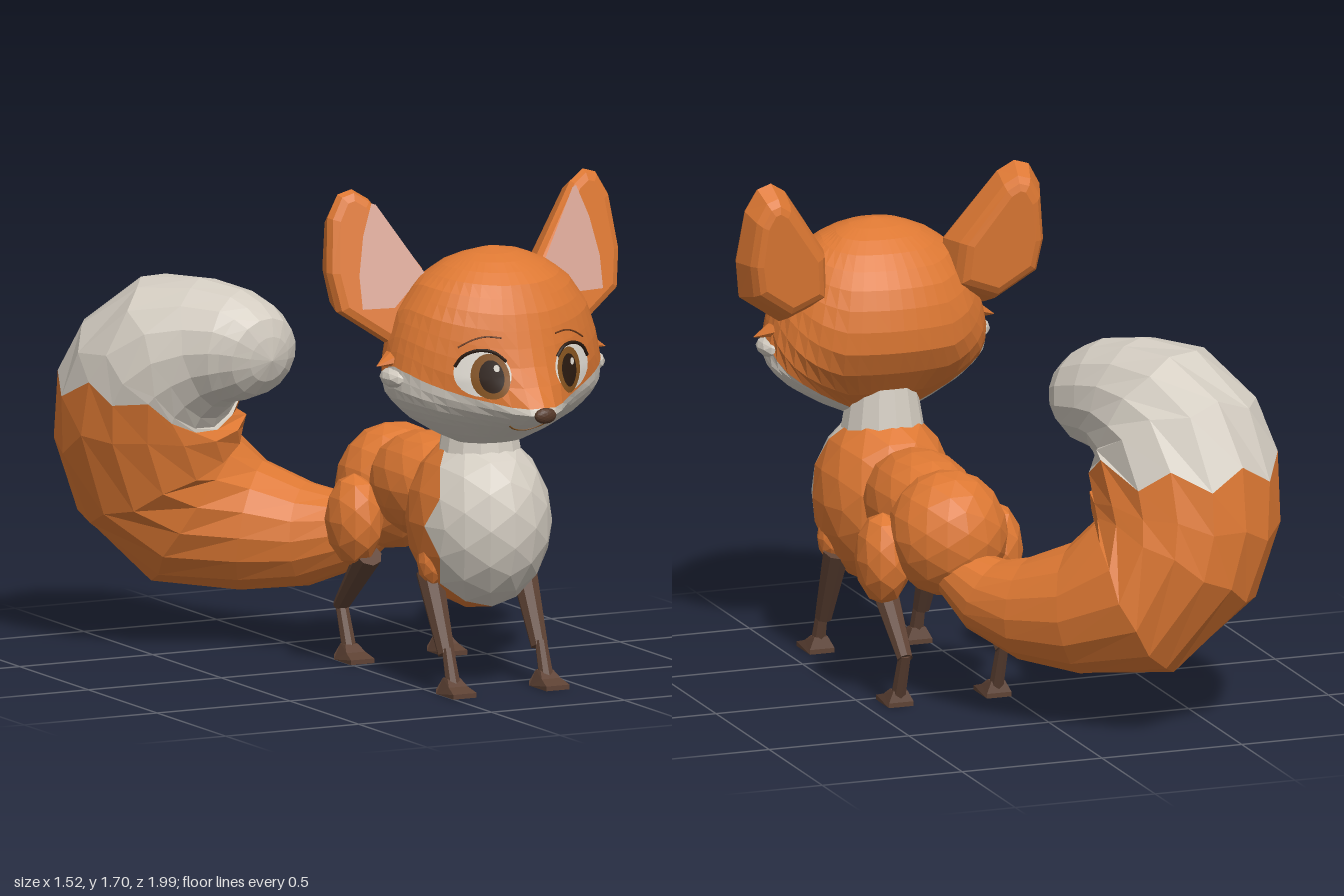
import * as THREE from 'three';
import { ParametricGeometry } from 'three/addons/geometries/ParametricGeometry.js';

const V = (x, y, z) => new THREE.Vector3(x, y, z);
const paint = (name, color) => Object.assign(new THREE.MeshStandardMaterial({ color }), { name });

// Linear lookup in rows sorted by their first number
function lookup(rows, k) {
  let i = 1;
  while (i < rows.length - 1 && rows[i][0] < k) i++;
  const a = rows[i - 1], b = rows[i];
  const t = THREE.MathUtils.clamp((k - a[0]) / (b[0] - a[0]), 0, 1);
  return a.map((n, j) => n + (b[j] - n) * t);
}

function flat(geo) {
  const g = geo.index ? geo.toNonIndexed() : geo;
  g.computeVertexNormals();
  return g;
}

// Keep only the triangles whose centre passes the test
function pick(geo, test) {
  const p = geo.attributes.position, keep = [], c = V(0, 0, 0);
  for (let i = 0; i < p.count; i += 3) {
    c.set(0, 0, 0);
    for (let k = 0; k < 3; k++) c.add(V().fromBufferAttribute(p, i + k));
    if (!test(c.divideScalar(3))) continue;
    for (let k = 0; k < 3; k++) keep.push(p.getX(i + k), p.getY(i + k), p.getZ(i + k));
  }
  return new THREE.BufferGeometry().setAttribute('position', new THREE.Float32BufferAttribute(keep, 3));
}

function warp(geo, rule) {
  const p = geo.attributes.position;
  for (let i = 0; i < p.count; i++) {
    const q = rule(p.getX(i), p.getY(i), p.getZ(i));
    p.setXYZ(i, q.x, q.y, q.z);
  }
  geo.computeVertexNormals();
  return geo;
}

// Head layers: height, half width, back z, front z, snout length
const HEAD = [
  [0.836, 0, 0.58, 0.58, 0], [0.84, 0.11, 0.49, 0.64, 0], [0.88, 0.2, 0.45, 0.71, 0.02],
  [0.94, 0.3, 0.4, 0.79, 0.1], [0.985, 0.35, 0.365, 0.83, 0.155], [1.03, 0.383, 0.33, 0.845, 0.115],
  [1.1, 0.39, 0.295, 0.855, 0.055], [1.2, 0.37, 0.29, 0.855, 0.02], [1.3, 0.335, 0.32, 0.845, 0],
  [1.4, 0.265, 0.385, 0.795, 0], [1.46, 0.175, 0.46, 0.725, 0], [1.49, 0.09, 0.525, 0.65, 0], [1.503, 0, 0.58, 0.58, 0],
];
// Height where the fur changes colour, by angle from the front
const FUR_LINE = [[0, 1.01], [0.2, 1.005], [0.58, 1.04], [0.85, 1.07], [1.2, 1.11], [1.5, 1.13], [1.65, 1.11], [2.3, 0.91], [2.6, 0.85], [3.2, 0.85]];

function headPoint(a, y) {
  const [, w, back, front, snout] = lookup(HEAD, y), c = Math.cos(a);
  const z = 0.58 + c * (c > 0 ? front - 0.58 : 0.58 - back) + snout * Math.exp(-((a / 0.4) ** 2));
  return V(w * Math.sin(a), y, z);
}
// Point on the face surface in front of (x, y)
function onFace(x, y, lift) {
  const p = headPoint(Math.asin(x / lookup(HEAD, y)[1]), y);
  return p.setZ(p.z + lift);
}

// Tail stations: centre and radius
const TAIL = [
  [0.22, 0.47, -0.2, 0.09], [0.11, 0.39, -0.34, 0.15], [-0.06, 0.39, -0.52, 0.21], [-0.29, 0.48, -0.68, 0.295],
  [-0.41, 0.67, -0.68, 0.315], [-0.43, 0.86, -0.64, 0.325], [-0.41, 1.0, -0.53, 0.295], [-0.32, 1.06, -0.37, 0.215],
  [-0.255, 1.05, -0.26, 0.175], [-0.235, 1.035, -0.18, 0.12], [-0.23, 1.03, -0.15, 0.001],
];

export function createModel() {
  const M = {
    fur: paint('orange fur', 0xdd7833), white: paint('pale fur', 0xd3ccc1), pink: paint('inner ear pink', 0xdba898),
    leg: paint('leg brown', 0x5e4234), nose: paint('nose brown', 0x553828), eye: paint('eye white', 0xe2ddd4),
    iris: paint('iris amber', 0x85531f), dark: paint('pupil dark', 0x2a1a10), line: paint('face line brown', 0x6e3a1a),
  };
  const model = new THREE.Group();
  model.name = 'fox';
  const body = new THREE.Group();
  body.name = 'body';
  body.position.x = 0.215;
  model.add(body);

  function add(name, geo, mat, parent = body) {
    const mesh = new THREE.Mesh(geo, mat);
    mesh.name = name;
    parent.add(mesh);
    return mesh;
  }
  const ball = (x, y, z, rx, ry, rz, detail = 2) =>
    flat(new THREE.IcosahedronGeometry(1, detail).scale(rx, ry, rz).translate(x, y, z));
  function limb(name, p, q, r0, r1, mat) {
    const d = q.clone().sub(p);
    const mesh = add(name, flat(new THREE.CylinderGeometry(r1, r0, d.length(), 8)), mat);
    mesh.position.copy(p).addScaledVector(d, 0.5);
    mesh.quaternion.setFromUnitVectors(V(0, 1, 0), d.normalize());
    return mesh;
  }
  const stroke = (name, pts, r, mat) =>
    add(name, new THREE.TubeGeometry(new THREE.CatmullRomCurve3(pts), 14, r, 5), mat);

  // Torso, with a pale bib on the chest
  const chest = ball(0, 0.56, 0.49, 0.238, 0.303, 0.275);
  const isBib = c => c.z > (c.y > 0.72 ? 0.5 : 0.575);
  add('chest', flat(pick(chest, c => !isBib(c))), M.fur);
  add('bib', flat(pick(chest, isBib)), M.white);
  add('belly', ball(0, 0.62, 0.13, 0.18, 0.184, 0.28), M.fur);
  add('hips', ball(0, 0.58, -0.115, 0.203, 0.215, 0.203), M.fur);
  add('neck', flat(new THREE.CylinderGeometry(0.115, 0.14, 0.15, 14).translate(0, 0.875, 0.5)), M.white);

  // Legs, with paws that narrow above the sole
  const sole = new THREE.Shape([[-0.05, 0], [0.075, 0], [0.075, 0.016], [0.025, 0.032], [-0.005, 0.055], [-0.04, 0.055], [-0.05, 0.016]]
    .map(p => new THREE.Vector2(...p)));
  for (const s of [-1, 1]) {
    const x = s * 0.175;
    add('thigh', ball(s * 0.2, 0.49, -0.03, 0.092, 0.158, 0.122, 1), M.fur);
    add('shoulder', ball(x, 0.43, 0.5, 0.055, 0.085, 0.06, 1), M.fur);
    limb('frontUpperLeg', V(x, 0.39, 0.47), V(x, 0.13, 0.595), 0.047, 0.03, M.leg);
    limb('frontLowerLeg', V(x, 0.15, 0.605), V(x, 0.03, 0.645), 0.021, 0.026, M.leg);
    limb('hindUpperLeg', V(x, 0.38, 0.03), V(x, 0.175, -0.175), 0.047, 0.027, M.leg);
    limb('hindLowerLeg', V(x, 0.19, -0.172), V(x, 0.03, -0.11), 0.022, 0.026, M.leg);
    for (const [name, z] of [['frontPaw', 0.655], ['hindPaw', -0.09]]) {
      const paw = new THREE.ExtrudeGeometry(sole, { depth: 0.088, bevelEnabled: false });
      paw.translate(0, 0, -0.044).rotateY(-Math.PI / 2);
      warp(paw, (px, py, pz) => V(px * (py > 0.05 ? 0.55 : py > 0.02 ? 0.8 : 1), py, pz));
      add(name, flat(paw.translate(x, 0, z)), M.leg);
    }
  }

  // Head in two shells that meet along the fur line
  function shell(from, to, ease) {
    return flat(new ParametricGeometry((u, v, out) => {
      const a = (u - 0.5) * 2 * Math.PI, line = lookup(FUR_LINE, Math.abs(a))[1];
      const lo = from ?? line, hi = to ?? line;
      out.copy(headPoint(a, lo + (hi - lo) * ease(v * Math.PI / 2)));
    }, 48, 12));
  }
  add('headTop', shell(null, 1.503, Math.sin), M.fur);
  add('muzzleAndCheeks', shell(0.836, null, t => 1 - Math.cos(t)), M.white);

  // Nose and mouth
  add('nose', ball(0, 0.985, 0.977, 0.04, 0.027, 0.02), M.nose);
  stroke('mouth', [-0.07, -0.04, 0, 0.04, 0.07].map(x => onFace(x, 0.912 + 5 * x * x, 0.002)), 0.003, M.iris);

  for (const s of [-1, 1]) {
    // Eyes, laid on the face as thin layers
    const disc = (name, cx, cy, rx, ry, lift, mat) => add(name, warp(new THREE.RingGeometry(0.001, 1, 24, 5),
      (x, y) => onFace(cx + x * rx, cy + y * ry, lift)), mat);
    disc('eyeWhite', s * 0.168, 1.12, 0.085, 0.078, 0.006, M.eye);
    disc('iris', s * 0.148, 1.112, 0.058, 0.076, 0.01, M.iris);
    disc('pupil', s * 0.146, 1.112, 0.037, 0.055, 0.014, M.dark);
    disc('eyeGlint', s * 0.146 + 0.015, 1.14, 0.009, 0.012, 0.018, M.eye);
    const lid = [0.3, 0.8, 1.4, 2, 2.6].map(t => onFace(s * (0.168 + 0.085 * Math.cos(t)), 1.12 + 0.079 * Math.sin(t), 0.008));
    stroke('upperLid', lid, 0.006, M.dark);
    stroke('brow', [[0.1, 1.237], [0.15, 1.242], [0.19, 1.232], [0.235, 1.207]].map(([x, y]) => onFace(s * x, y, 0.002)), 0.003, M.line);

    // Cheek tufts: a flat spike over a rounded pale puff
    limb('cheekTuft', V(s * 0.32, 1.16, 0.57), V(s * 0.43, 1.125, 0.58), 0.045, 0.001, M.fur).scale.z = 1.8;
    add('cheekPuff', ball(s * 0.36, 1.085, 0.59, 0.052, 0.038, 0.075, 1), M.white);

    // Ears lean back, sweep outward and taper behind
    const outline = pts => new THREE.Shape(pts.map(([x, y]) => new THREE.Vector2(s * x, y)));
    const lean = (x, y, z) => V(x, y, z + 0.53 - (0.22 + 0.75 * z) * (y - 1.32) - 0.15 * (Math.abs(x) - 0.35));
    const taper = (x, y, z) => {
      const k = 1 + 2 * Math.min(0, z + 0.05);
      return lean(s * 0.39 + (x - s * 0.39) * k, 1.43 + (y - 1.43) * k, z);
    };
    const ear = new THREE.ExtrudeGeometry(outline([[0.2, 1.25], [0.365, 1.19], [0.525, 1.3], [0.547, 1.43],
      [0.527, 1.61], [0.485, 1.685], [0.435, 1.7], [0.38, 1.665], [0.215, 1.43]]),
    { depth: 0.085, bevelSize: 0.032, bevelThickness: 0.04, bevelOffset: -0.032, bevelSegments: 2 });
    add('ear', flat(warp(ear.translate(0, 0, -0.125), taper)), M.fur);
    const inner = new THREE.ShapeGeometry(outline([[0.34, 1.31], [0.452, 1.31], [0.452, 1.42], [0.425, 1.55], [0.385, 1.655], [0.37, 1.65], [0.225, 1.42]]));
    add('innerEar', warp(inner.translate(0, 0, 0.005), lean), M.pink);
  }

  // Tail: one swept surface cut along a zigzag where the pale tip begins
  const path = new THREE.CatmullRomCurve3(TAIL.map(([x, y, z]) => V(x, y, z)));
  const girth = new THREE.CatmullRomCurve3(TAIL.map(t => V(t[3], 0, 0)));
  const axis = V(0.75, 0, -0.66);
  function tailPoint(a, t) {
    const T = path.getTangent(t), N = V().crossVectors(T, axis).normalize(), B = V().crossVectors(T, N);
    const r = Math.max(girth.getPoint(t).x, 0.001);
    return path.getPoint(t).addScaledVector(N, r * Math.cos(a)).addScaledVector(B, r * Math.sin(a));
  }
  const SIDES = 16, MIDDLE = 0.5;
  const cut = Array.from({ length: SIDES + 1 }, (_, i) => {
    const goal = 0.905 + (i % 2 ? 0.035 : -0.035);
    let lo = 0.38, hi = 0.61;
    for (let k = 0; k < 20; k++) {
      const mid = (lo + hi) / 2;
      if (tailPoint(i / SIDES * 2 * Math.PI, mid).y < goal) lo = mid; else hi = mid;
    }
    return lo;
  });
  // Rings stay even and bend to the zigzag only near the cut
  const sweep = (pale, rows) => flat(new ParametricGeometry((u, v, out) => {
    const bend = cut[Math.round(u * SIDES)] - MIDDLE;
    const t = pale ? MIDDLE + (1 - MIDDLE) * v + bend * (1 - v) ** 4 : MIDDLE * v + bend * v ** 4;
    out.copy(tailPoint(u * 2 * Math.PI, t));
  }, SIDES, rows));
  add('tail', sweep(false, 7), M.fur, model);
  add('tailTip', sweep(true, 8), M.white, model);

  return model;
}
